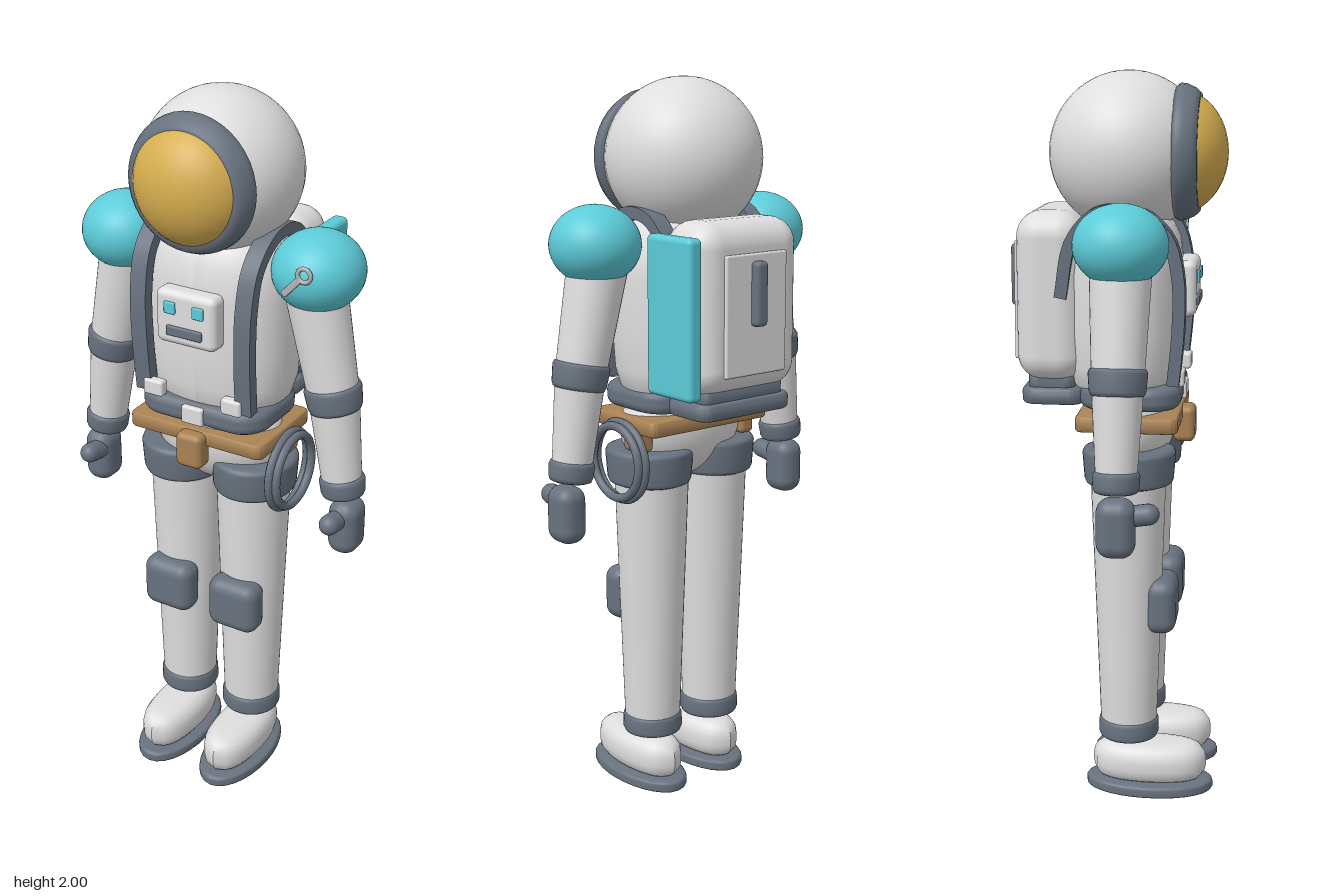
import * as THREE from 'three';
import { toCreasedNormals } from 'three/addons/utils/BufferGeometryUtils.js';
import { RoundedBoxGeometry } from 'three/addons/geometries/RoundedBoxGeometry.js';

const mat = (name, color) => {
  const m = new THREE.MeshStandardMaterial({ color });
  m.name = name;
  return m;
};

export function createModel() {
  const model = new THREE.Group();
  model.name = 'astronaut';
  const white = mat('suitWhite', 0xdedede);
  const dark = mat('slateGrey', 0x68727f);
  const teal = mat('teal', 0x5ccbd8);
  const gold = mat('visorGold', 0xd6ae50);
  const brown = mat('leatherBrown', 0xa98253);
  const metal = mat('toolMetal', 0xb4b4b4);
  const V = (x, y, z) => new THREE.Vector3(x, y, z);

  function add(name, geo, material, x = 0, y = 0, z = 0, parent = model) {
    const mesh = new THREE.Mesh(geo, material);
    mesh.name = name;
    mesh.position.set(x, y, z);
    parent.add(mesh);
    return mesh;
  }
  const rbox = (w, h, d, r) => new RoundedBoxGeometry(w, h, d, 4, r);
  const ball = (rx, ry, rz) => new THREE.SphereGeometry(1, 40, 28).scale(rx, ry, rz);
  const lathe = (pts) => new THREE.LatheGeometry(pts.map(p => new THREE.Vector2(...p)), 40);

  // Horizontal slab with rounded plan and softened edges; corner 'oval' gives an ellipse
  function slab(w, h, d, corner, bevel) {
    const a = w / 2 - bevel, b = d / 2 - bevel, s = new THREE.Shape();
    if (corner === 'oval') s.absellipse(0, 0, a, b, 0, Math.PI * 2);
    else {
      const c = corner;
      s.absarc(a - c, b - c, c, 0, Math.PI / 2);
      s.absarc(-a + c, b - c, c, Math.PI / 2, Math.PI);
      s.absarc(-a + c, -b + c, c, Math.PI, Math.PI * 1.5);
      s.absarc(a - c, -b + c, c, Math.PI * 1.5, Math.PI * 2);
    }
    const g = new THREE.ExtrudeGeometry(s, {
      depth: h - 2 * bevel, bevelThickness: bevel, bevelSize: bevel, bevelSegments: 4, curveSegments: 14,
    });
    g.rotateX(-Math.PI / 2).center();
    return toCreasedNormals(g, 0.7);
  }

  // Tapered limb between two points
  function limb(name, a, b, ra, rb, material, parent) {
    const dir = a.clone().sub(b), mid = a.clone().add(b).multiplyScalar(0.5);
    const mesh = add(name, new THREE.CylinderGeometry(ra, rb, dir.length(), 36), material, mid.x, mid.y, mid.z, parent);
    mesh.quaternion.setFromUnitVectors(V(0, 1, 0), dir.normalize());
    return mesh;
  }
  // Rounded band
  const cuff = (rt, rb, h) => {
    const e = 0.014, k = h / 2;
    return lathe([[0, -k], [rb - e, -k], [rb - e * 0.3, -k + e * 0.3], [rb, -k + e],
      [rt, k - e], [rt - e * 0.3, k - e * 0.3], [rt - e, k], [0, k]]);
  };

  // Helmet, visor ring and visor
  add('helmet', ball(0.213, 0.213, 0.213), white, 0, 1.787, 0.025);
  const ring = lathe([[0.14, 0.15], [0.17, 0.15], [0.18, 0.162], [0.178, 0.18], [0.168, 0.202], [0.155, 0.216], [0.14, 0.216]]);
  add('visorRing', ring.rotateX(Math.PI / 2), dark, 0, 1.787, 0);
  add('visor', ball(0.163, 0.163, 0.135), gold, 0, 1.787, 0.155);

  // Torso: squared-off oval cross-sections
  const torso = lathe([[0, 1.15], [0.165, 1.15], [0.19, 1.18], [0.204, 1.23], [0.21, 1.32], [0.21, 1.48],
    [0.198, 1.56], [0.165, 1.615], [0.11, 1.645], [0, 1.655]]);
  const p = torso.attributes.position;
  for (let i = 0; i < p.count; i++) {
    const x = p.getX(i), z = p.getZ(i), r = Math.hypot(x, z) || 1;
    const soft = v => Math.sign(v) * Math.abs(v / r) ** 0.85 * r;
    p.setX(i, soft(x));
    p.setZ(i, soft(z) * 0.76);
  }
  torso.computeVertexNormals();
  add('torso', torso, white, 0, 0, 0.015);
  add('pelvis', ball(0.195, 0.15, 0.115), white, 0, 1.06, 0.04);

  // Shoulder straps: a side profile swept across the strap width
  const path = new THREE.CatmullRomCurve3([V(0.165, 1.19, 0), V(0.178, 1.34, 0), V(0.176, 1.48, 0), V(0.145, 1.585, 0),
    V(0.06, 1.65, 0), V(-0.04, 1.645, 0), V(-0.11, 1.57, 0), V(-0.14, 1.42, 0)]);
  const edges = [[], []];
  for (let i = 0; i <= 30; i++) {
    const c = path.getPoint(i / 30), t = path.getTangent(i / 30);
    [0.013, -0.02].forEach((o, k) => edges[k].push(new THREE.Vector2(c.x + t.y * o, c.y - t.x * o)));
  }
  const strapShape = new THREE.Shape([...edges[0], ...edges[1].reverse()]);
  const strap = toCreasedNormals(new THREE.ExtrudeGeometry(strapShape, { depth: 0.048, bevelEnabled: false })
    .translate(0, 0, -0.024).rotateY(-Math.PI / 2), 0.6);
  for (const s of [-1, 1]) {
    add('shoulderStrap', strap, dark, s * 0.136, 0, 0).rotation.z = -s * 0.015;
    add('strapBuckle', rbox(0.06, 0.045, 0.03, 0.008), white, s * 0.12, 1.205, 0.175);
  }

  // Chest control box
  add('chestBox', rbox(0.18, 0.15, 0.06, 0.02), white, 0, 1.435, 0.185);
  for (const s of [-1, 1]) add('chestLight', rbox(0.032, 0.032, 0.016, 0.003), teal, s * 0.042, 1.465, 0.214);
  add('chestSlot', rbox(0.106, 0.028, 0.016, 0.005), dark, 0, 1.402, 0.214);

  // Waist belt, utility belt and pouches
  add('waistBelt', slab(0.385, 0.065, 0.275, 0.06, 0.024), dark, 0, 1.15, 0.042);
  add('waistBuckle', rbox(0.065, 0.05, 0.02, 0.006), white, 0, 1.15, 0.178);
  add('utilityBelt', slab(0.415, 0.042, 0.275, 0.015, 0.008), brown, 0, 1.085, 0.04);
  add('frontPouch', rbox(0.08, 0.1, 0.06, 0.018), brown, 0, 1.053, 0.182);
  for (const s of [-1, 1]) add('sidePouch', rbox(0.05, 0.085, 0.08, 0.015), brown, s * 0.182, 1.052, 0);

  // Coiled tether on the left hip
  for (const [x, r] of [[0.214, 0.108], [0.232, 0.1]])
    add('tetherCoil', new THREE.TorusGeometry(r, 0.012, 10, 40).rotateY(Math.PI / 2), dark, x, 0.98, 0.037);

  // Backpack with side tank panel, hatch, handle and base
  const pack = new THREE.Group();
  pack.name = 'backpack';
  model.add(pack);
  add('packBody', rbox(0.355, 0.455, 0.185, 0.07), white, 0, 1.415, -0.17, pack);
  add('packHatch', rbox(0.21, 0.32, 0.014, 0.006), white, 0, 1.4, -0.265, pack);
  add('packHandle', rbox(0.04, 0.17, 0.036, 0.012), dark, 0, 1.455, -0.279, pack);
  add('packSidePanel', rbox(0.046, 0.42, 0.178, 0.015), teal, 0.199, 1.4, -0.175, pack);
  add('packBase', slab(0.32, 0.045, 0.17, 0.03, 0.012), dark, 0, 1.148, -0.165, pack);
  add('packBaseNeck', slab(0.28, 0.04, 0.125, 0.02, 0.005), dark, 0, 1.183, -0.17, pack);

  // Wrench resting on the left shoulder
  const wrench = new THREE.Group();
  wrench.name = 'wrench';
  wrench.position.set(0.312, 1.605, 0.158);
  wrench.rotation.z = -0.75;
  model.add(wrench);
  add('wrenchRing', new THREE.TorusGeometry(0.018, 0.006, 8, 24), metal, 0, 0, 0, wrench);
  add('wrenchHandle', rbox(0.018, 0.07, 0.012, 0.005), metal, 0, -0.05, 0, wrench);

  for (const s of [-1, 1]) {
    const side = s > 0 ? 'left' : 'right';
    // Arm
    const arm = new THREE.Group();
    arm.name = side + 'Arm';
    model.add(arm);
    const shoulder = V(s * 0.275, 1.56, 0.037), elbow = V(s * 0.345, 1.235, 0.037), wrist = V(s * 0.382, 0.96, 0.037);
    add('shoulderCap', ball(0.121, 0.105, 0.123), teal, s * 0.29, 1.575, 0.037, arm);
    limb('upperArm', shoulder, elbow, 0.083, 0.068, white, arm);
    limb('forearm', elbow, wrist, 0.068, 0.052, white, arm);
    add('elbowBand', cuff(0.077, 0.073, 0.075), dark, elbow.x, elbow.y, elbow.z, arm).rotation.z = s * 0.19;
    add('wristBand', cuff(0.062, 0.06, 0.06), dark, s * 0.38, 0.982, 0.037, arm).rotation.z = s * 0.13;
    add('glove', rbox(0.086, 0.158, 0.102, 0.038), dark, s * 0.397, 0.865, 0.038, arm);
    const thumb = add('thumb', new THREE.CapsuleGeometry(0.028, 0.05, 8, 20), dark, s * 0.387, 0.897, 0.097, arm);
    thumb.rotation.x = Math.PI / 2 - 0.15;

    // Leg
    const leg = new THREE.Group();
    leg.name = side + 'Leg';
    model.add(leg);
    const x = s * 0.107;
    limb('legTube', V(x, 1.0, 0.037), V(x, 0.17, 0.04), 0.106, 0.078, white, leg);
    add('thighBand', cuff(0.118, 0.113, 0.1), dark, s * 0.113, 0.957, 0.04, leg).scale.z = 1.08;
    add('kneePad', rbox(0.155, 0.155, 0.085, 0.036), dark, x, 0.563, 0.132, leg);
    add('ankleBand', cuff(0.084, 0.085, 0.062), dark, x, 0.19, 0.04, leg);
    add('boot', slab(0.155, 0.115, 0.315, 'oval', 0.045), white, x, 0.085, 0.1, leg);
    add('sole', slab(0.188, 0.034, 0.362, 'oval', 0.013), dark, x, 0.017, 0.1, leg);
  }
  return model;
}
